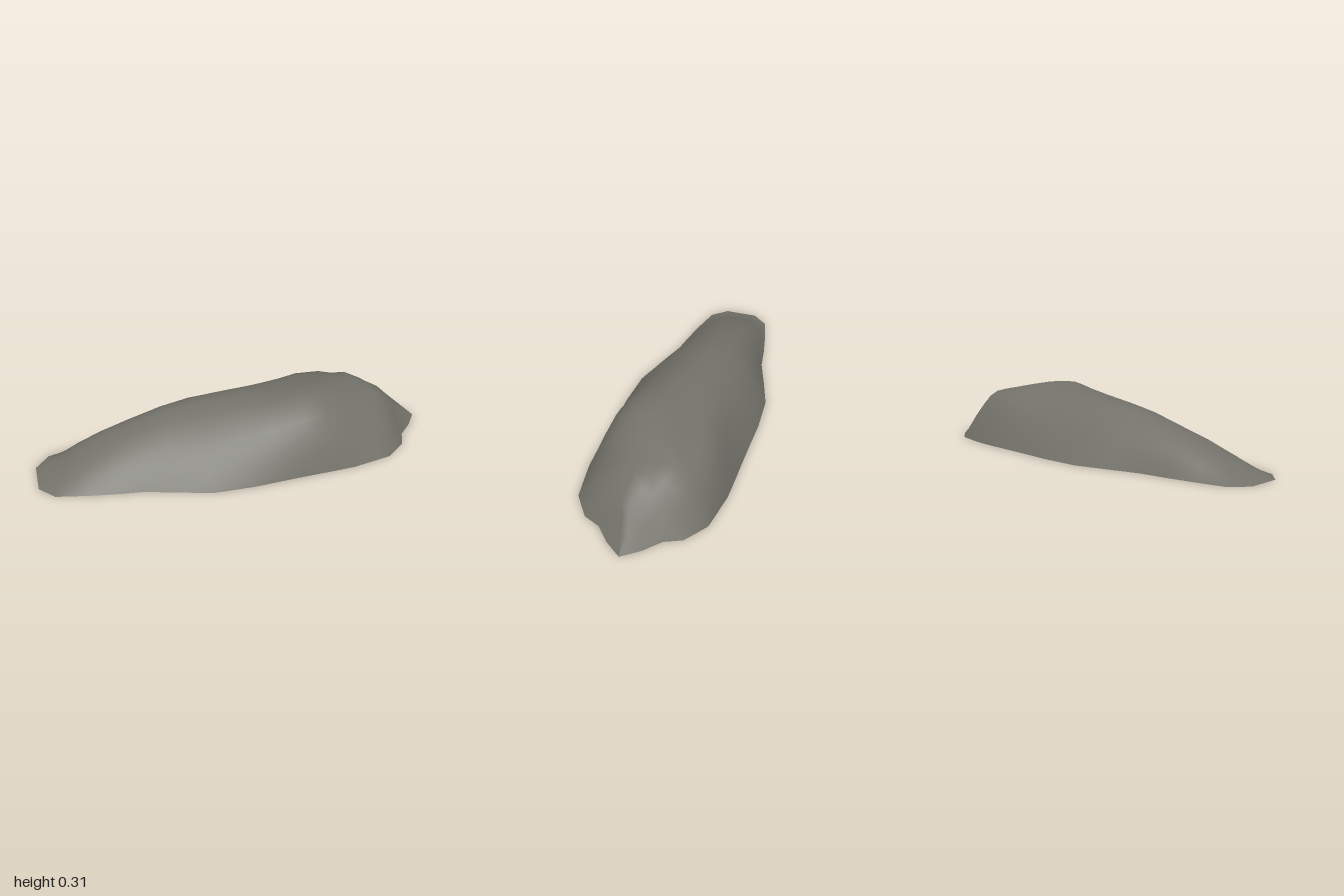
import * as THREE from 'three';

// Stations along the rock: x, half width, height, crest position across (share of half width),
// then the fullness of the front and back slopes (1 is a straight slope, 3 a full dome)
const STATIONS = [
  [-1.0, 0.085, 0.0, 0, 2, 2],
  [-0.93, 0.165, 0.024, -0.1, 2.2, 2.5],
  [-0.88, 0.177, 0.042, -0.15, 2.2, 2.6],
  [-0.78, 0.201, 0.1, -0.2, 2.1, 2.6],
  [-0.65, 0.226, 0.152, -0.2, 2.1, 2.6],
  [-0.52, 0.245, 0.192, -0.18, 2, 2.6],
  [-0.35, 0.3, 0.24, -0.14, 1.8, 2.2],
  [-0.2, 0.345, 0.264, -0.1, 1.75, 2.1],
  [0.0, 0.355, 0.28, -0.03, 2.1, 2.2],
  [0.15, 0.35, 0.291, 0.07, 2.5, 2.6],
  [0.3, 0.347, 0.31, 0.14, 2.9, 3.2],
  [0.4, 0.346, 0.304, 0.1, 2.9, 3.8],
  [0.52, 0.343, 0.281, 0, 2.8, 4.0],
  [0.65, 0.322, 0.251, -0.25, 2.6, 2.5],
  [0.72, 0.31, 0.231, -0.18, 2.4, 1.7],
  [0.78, 0.268, 0.205, -0.1, 1.7, 1.4],
  [0.83, 0.23, 0.16, 0, 1.3, 1.2],
  [0.865, 0.15, 0.127, 0, 1.1, 1.1],
  [0.94, 0.08, 0.057, 0, 1, 1],
  [1.0, 0.0, 0.0, 0, 1, 1],
];

// Sample points from the front foot (1) over the crest (0) to the back foot (-1)
const HALF = [1, 0.96, 0.88, 0.8, 0.7, 0.58, 0.42, 0.22];
const SAMPLES = [...HALF, 0, ...HALF.map((s) => -s).reverse()];

// One cross-section: two slopes meeting at the crest, with a flat worn facet on the back shoulder
function section([x, w, h, crest, front, back]) {
  return SAMPLES.map((s) => {
    const z = w * (s > 0 ? crest + s * (1 - crest) : crest + s * (1 + crest));
    const y = h * (1 - Math.pow(Math.abs(s), s > 0 ? front : back));
    return [x, s < 0 ? Math.min(y, 0.298 + 0.3 * z) : y, z];
  });
}

// Skin a list of equally long rings of [x, y, z] points
function loft(rings) {
  const n = rings[0].length;
  const index = [];
  for (let i = 0; i < rings.length - 1; i++) {
    for (let j = 0; j < n - 1; j++) {
      const a = i * n + j, b = a + n;
      index.push(a, b, b + 1, a, b + 1, a + 1);
    }
  }
  const geometry = new THREE.BufferGeometry();
  geometry.setAttribute('position', new THREE.Float32BufferAttribute(rings.flat(2), 3));
  geometry.setIndex(index);
  geometry.computeVertexNormals();
  return geometry;
}

export function createModel() {
  const stone = new THREE.MeshStandardMaterial({ color: 0x73726a });
  stone.name = 'stone grey';

  const group = new THREE.Group();
  group.name = 'rock';

  // Rounded upper surface, running out into a ridged spur at +x
  const body = new THREE.Mesh(loft(STATIONS.map(section)), stone);
  body.name = 'rockBody';
  group.add(body);

  // Flat underside
  const base = new THREE.Mesh(loft(STATIONS.map(([x, w]) => [[x, 0, -w], [x, 0, w]])), stone);
  base.name = 'rockBase';
  group.add(base);

  return group;
}
